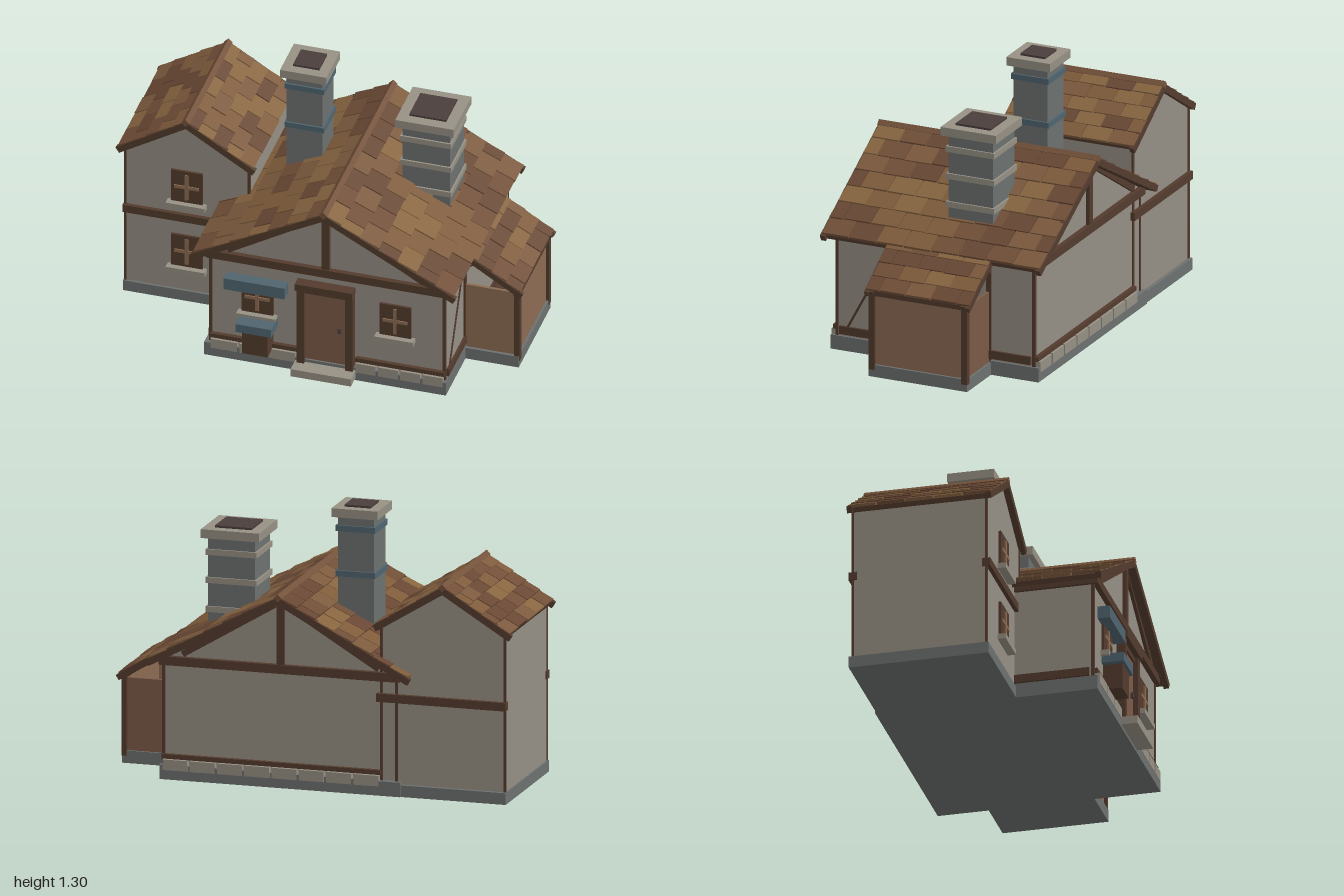
import * as THREE from 'three';

const mats = {};
const mat = (c) => (mats[c] ??= new THREE.MeshStandardMaterial({ color: c, flatShading: true }));
const WALL = 0x958f84, STONE = 0x6c706f, CAP = 0x969084, WOOD = 0x533b2d, TAN = 0x8b6a52,
  DOOR = 0x7a5a47, BLUE = 0x50646f, SOOT = 0x4a3e3c, RIDGE = 0x74523a;
const TILES = [0x86643f, 0x7b593d, 0x704e37, 0x684733, 0x7d5a3a];

let seed = 7;
const rnd = () => (seed = (seed * 16807) % 2147483647) / 2147483647;

function group(name, parent) {
  const g = new THREE.Group();
  g.name = name;
  parent.add(g);
  return g;
}

// Box given by its extents on each axis
function box(name, parent, color, x0, x1, y0, y1, z0, z1) {
  const m = new THREE.Mesh(new THREE.BoxGeometry(x1 - x0, y1 - y0, z1 - z0), mat(color));
  m.position.set((x0 + x1) / 2, (y0 + y1) / 2, (z0 + z1) / 2);
  m.name = name;
  parent.add(m);
  return m;
}

// Timber running between two points of the xy plane
function bar(name, parent, x0, y0, x1, y1, w, z0, z1) {
  const l = Math.hypot(x1 - x0, y1 - y0);
  const m = box(name, parent, WOOD, -l / 2, l / 2, -w / 2, w / 2, z0, z1);
  m.position.x = (x0 + x1) / 2;
  m.position.y = (y0 + y1) / 2;
  m.rotation.z = Math.atan2(y1 - y0, x1 - x0);
  return m;
}

// Walls with a gable front and back
function gableBody(name, parent, x0, x1, y0, yEave, yTop, z0, z1) {
  const s = new THREE.Shape();
  s.moveTo(x0, y0);
  s.lineTo(x1, y0);
  s.lineTo(x1, yEave);
  s.lineTo((x0 + x1) / 2, yTop);
  s.lineTo(x0, yEave);
  const m = new THREE.Mesh(new THREE.ExtrudeGeometry(s, { depth: z1 - z0, bevelEnabled: false }), mat(WALL));
  m.position.z = z0;
  m.name = name;
  parent.add(m);
}

// One tiled slope falling towards +x (side 1) or -x (side -1) from its upper edge
function slope(name, parent, x, y, dx, dy, z0, z1, rows, cols, side = 1) {
  const pivot = group(name, parent);
  pivot.position.set(x, y, (z0 + z1) / 2);
  pivot.rotation.y = side > 0 ? 0 : Math.PI;
  const g = group('slopePlane', pivot);
  g.rotation.z = -Math.atan2(dy, dx);
  const L = Math.hypot(dx, dy), W = z1 - z0, h = W / 2, row = L / rows, col = W / cols;
  box('roofBoards', g, WOOD, 0, L - 0.006, -0.036, -0.012, -h, h);
  for (let r = 0; r < rows; r++) {
    for (let c = 0; c <= cols; c++) {
      const a = Math.max(-h, -h + (c - (r % 2) / 2) * col + 0.003);
      const b = Math.min(h, -h + (c + 1 - (r % 2) / 2) * col - 0.003);
      if (b - a < 0.01) continue;
      const end = (r + 1) * row - rnd() * 0.006;
      const t = box('tile', g, TILES[Math.floor(rnd() * TILES.length)], Math.max(0, r * row - 0.008), end, -0.015, -0.001, a, b);
      t.rotation.z = 0.07;
      t.position.y += rnd() * 0.003;
    }
  }
}

// Two slopes, ridge board and verge boards
function gableRoof(name, parent, x, y, dx, dy, z0, z1, rows, cols) {
  const g = group(name, parent);
  for (const s of [1, -1]) {
    slope('roofSlope', g, x, y, dx, dy, z0, z1, rows, cols, s);
    for (const z of [z0 - 0.003, z1 - 0.022])
      bar('vergeBoard', g, x, y - 0.022, x + s * dx, y - dy - 0.022, 0.032, z, z + 0.025);
  }
  const r = box('ridgeBoard', g, RIDGE, x - 0.014, x + 0.014, y - 0.022, y + 0.006, z0 - 0.004, z1 + 0.004);
  r.rotation.z = Math.PI / 4;
}

// Cross-barred window with a sill, centred on (x, y) on the wall plane z
function windowUnit(parent, x, y, z) {
  const g = group('window', parent);
  g.position.set(x, y, z);
  box('windowFrame', g, WOOD, -0.077, 0.077, -0.088, 0.088, -0.01, 0.012);
  box('windowMullion', g, TAN, -0.008, 0.008, -0.07, 0.07, 0, 0.018);
  box('windowTransom', g, TAN, -0.06, 0.06, -0.008, 0.008, 0, 0.018);
  box('windowSill', g, CAP, -0.095, 0.095, -0.112, -0.086, -0.01, 0.04);
}

// Square chimney with bands, cap and sooty opening
function chimney(parent, x, z, half, y0, top, capHalf, hole, bandColor, bands) {
  const g = group('chimney', parent);
  g.position.set(x, 0, z);
  const sq = (n, c, h, a, b) => box(n, g, c, -h, h, a, b, -h, h);
  sq('chimneyShaft', STONE, half, y0, top - 0.04);
  for (const y of bands) sq('chimneyBand', bandColor, half + 0.009, y, y + 0.028);
  sq('chimneyCap', CAP, capHalf, top - 0.042, top);
  sq('chimneyOpening', SOOT, hole, top - 0.02, top + 0.01);
}

export function createModel() {
  const root = new THREE.Group();
  root.name = 'cottage';

  // Main house
  const house = group('mainHouse', root);
  box('foundation', house, STONE, -0.46, 0.72, 0, 0.07, -0.562, 0.514);
  gableBody('mainWalls', house, -0.44, 0.71, 0.06, 0.575, 0.89, -0.535, 0.487);
  gableRoof('mainRoof', house, 0.13, 0.93, 0.64, 0.345, -0.592, 0.54, 7, 8);

  // Gable timbers, base rails and stones, alike front and back
  for (const [wall, s] of [[0.487, 1], [-0.535, -1]]) {
    const z = (d0, d1) => (s > 0 ? [wall + d0, wall + d1] : [wall - d1, wall - d0]);
    box('gableBeam', house, WOOD, -0.45, 0.715, 0.55, 0.592, ...z(-0.01, 0.025));
    box('kingPost', house, WOOD, 0.112, 0.148, 0.59, 0.9, ...z(-0.01, 0.02));
    for (const m of [1, -1]) {
      bar('gableRafter', house, 0.13 + m * 0.48, 0.607, 0.13 + m * 0.03, 0.878, 0.03, ...z(-0.01, 0.016));
      const cx = 0.135 + m * 0.57;
      box('cornerPost', house, WOOD, cx - 0.007, cx + 0.007, 0.07, 0.55, ...z(-0.01, 0.006));
    }
    const spans = s > 0 ? [[-0.435, -0.01, 3], [0.275, 0.71, 4]] : [[-0.36, 0.71, 8]];
    for (const [a, b, n] of spans) {
      box('baseRail', house, WOOD, a, b, 0.098, 0.12, ...z(-0.01, 0.02));
      const w = (b - a) / n;
      for (let i = 0; i < n; i++)
        box('baseStone', house, CAP, a + i * w + 0.006, a + (i + 1) * w - 0.006, 0.045, 0.096, ...z(-0.01, 0.03));
    }
  }

  // Side timbers
  for (const x of [-0.44, 0.71]) {
    box('eaveBeam', house, WOOD, x - 0.015, x + 0.015, 0.55, 0.58, -0.555, 0.51);
    box('sideRail', house, WOOD, x - 0.012, x + 0.012, 0.08, 0.12, -0.52, 0.47);
  }
  const brace = box('sideBrace', house, WOOD, 0.7, 0.716, -0.24, 0.24, -0.005, 0.005);
  brace.position.set(0.708, 0.33, 0.315);
  brace.rotation.x = -0.49;

  // Door
  const door = group('door', root);
  box('doorStep', door, CAP, -0.015, 0.28, 0.015, 0.055, 0.48, 0.592);
  box('doorPanel', door, DOOR, 0.03, 0.24, 0.05, 0.455, 0.47, 0.505);
  for (const x of [0.008, 0.245]) box('doorPost', door, WOOD, x - 0.012, x + 0.024, 0.055, 0.48, 0.48, 0.53);
  box('doorHead', door, WOOD, 0.02, 0.25, 0.445, 0.475, 0.48, 0.515);
  box('doorLintel', door, WOOD, -0.01, 0.27, 0.47, 0.506, 0.48, 0.542);
  box('doorHandle', door, SOOT, 0.192, 0.208, 0.248, 0.275, 0.5, 0.517);

  // Windows, awning and front bin
  windowUnit(root, -0.205, 0.36, 0.487);
  windowUnit(root, 0.468, 0.362, 0.487);
  box('windowAwning', root, BLUE, -0.355, -0.058, 0.412, 0.473, 0.48, 0.546);
  box('frontBin', root, WOOD, -0.255, -0.13, 0.09, 0.22, 0.48, 0.58);
  box('frontBinLid', root, BLUE, -0.283, -0.108, 0.216, 0.26, 0.48, 0.595);

  // Two-storey wing
  const wing = group('tallWing', root);
  box('wingFoundation', wing, STONE, -0.975, -0.35, 0, 0.056, -0.555, 0.12);
  gableBody('wingWalls', wing, -0.968, -0.36, 0.05, 0.81, 0.992, -0.536, 0.108);
  gableRoof('wingRoof', wing, -0.664, 1.03, 0.333, 0.205, -0.556, 0.135, 5, 5);
  for (const z of [0.108, -0.536]) {
    box('floorBand', wing, WOOD, -0.975, -0.34, 0.45, 0.49, z - 0.02, z + 0.02);
    for (const x of [-0.966, -0.362]) box('wingCornerPost', wing, WOOD, x - 0.006, x + 0.006, 0.055, 0.81, z - 0.005, z + 0.005);
  }
  for (const y of [0.28, 0.645]) windowUnit(wing, -0.664, y, 0.108);

  // Lean-to shed, open between the panels and its roof
  const shed = group('leanTo', root);
  box('shedFoundation', shed, STONE, 0.7, 0.98, 0, 0.06, -0.316, 0.195);
  box('shedFrontPanel', shed, TAN, 0.7, 0.965, 0.055, 0.41, 0.165, 0.18);
  box('shedBackPanel', shed, DOOR, 0.7, 0.965, 0.055, 0.41, -0.305, -0.29);
  box('shedSidePanel', shed, TAN, 0.95, 0.968, 0.055, 0.41, -0.3, 0.175);
  for (const z of [0.178, -0.302]) {
    box('shedPost', shed, WOOD, 0.957, 0.983, 0.035, 0.42, z - 0.015, z + 0.015);
    box('shedWallPost', shed, WOOD, 0.7, 0.718, 0.06, 0.55, z - 0.012, z + 0.012);
    bar('shedRafter', shed, 0.71, 0.575, 0.99, 0.415, 0.026, z - 0.012, z + 0.012);
    bar('shedBrace', shed, 0.705, 0.505, 0.765, 0.552, 0.022, z - 0.012, z + 0.012);
  }
  box('shedPlate', shed, WOOD, 0.955, 0.985, 0.405, 0.428, -0.325, 0.2);
  slope('shedRoof', shed, 0.715, 0.61, 0.28, 0.175, -0.332, 0.203, 4, 4);
  for (const z of [-0.335, 0.187]) bar('shedVerge', shed, 0.72, 0.585, 0.997, 0.413, 0.028, z, z + 0.02);

  // Chimneys
  chimney(root, -0.143, -0.152, 0.088, 0.55, 1.29, 0.113, 0.064, BLUE, [0.96, 1.178]);
  chimney(root, 0.461, -0.143, 0.116, 0.6, 1.146, 0.143, 0.09, CAP, [0.745, 0.885, 1.02]);

  return root;
}
